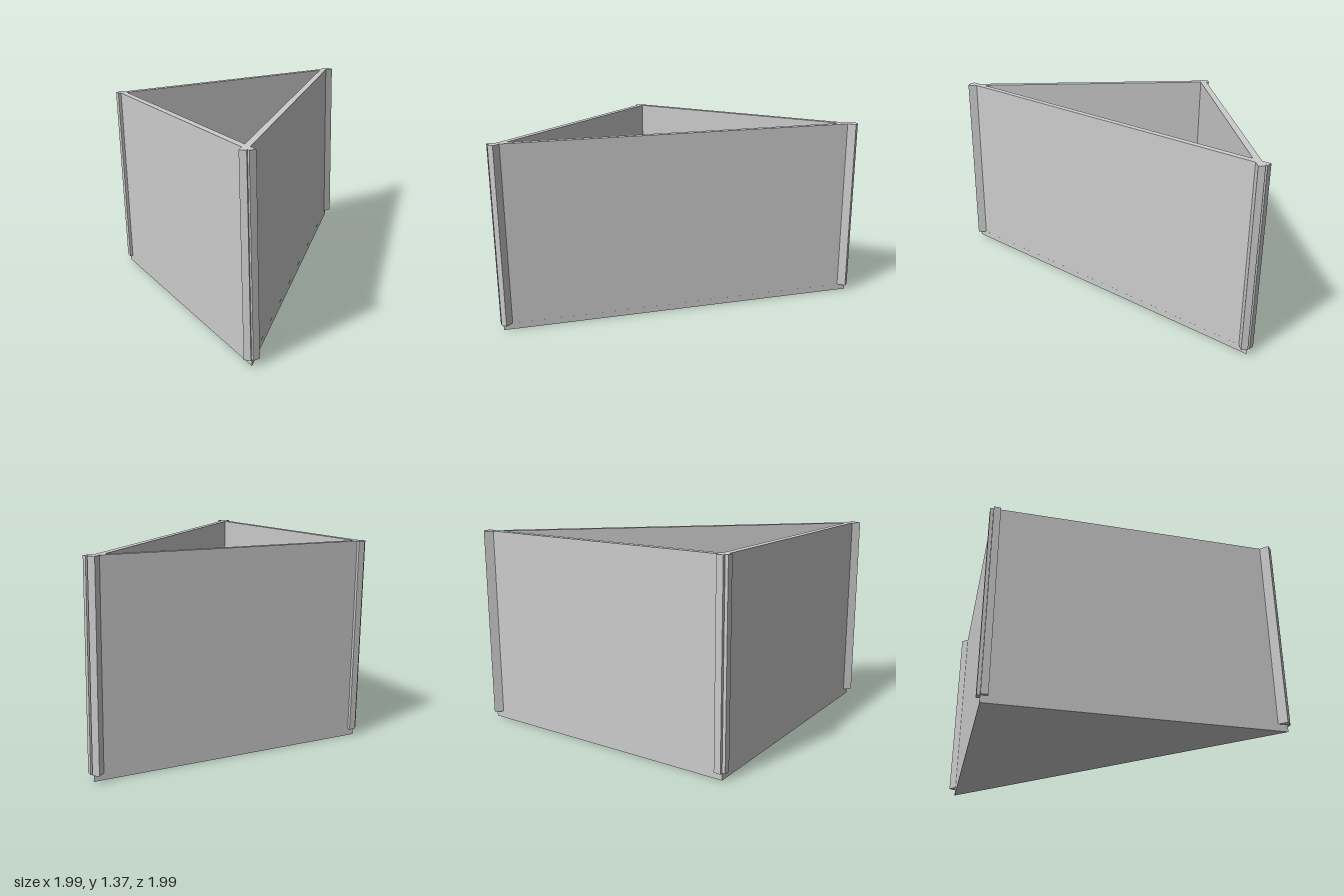
import * as THREE from 'three';

const TOP = 1.368;     // rim height
const BASE = 0.047;    // floor thickness
const T = 0.046;       // wall thickness

export function createModel() {
  const group = new THREE.Group();
  const material = new THREE.MeshStandardMaterial({ color: 0xcccccc, flatShading: true });

  const add = (name, geometry) => {
    const mesh = new THREE.Mesh(geometry, material);
    mesh.name = name;
    group.add(mesh);
    return mesh;
  };

  // Upright panel, centred on (x, z) and turned about the vertical
  const addWall = (name, length, x, z, turn) => {
    const wall = add(name, new THREE.BoxGeometry(length, TOP - BASE, T));
    wall.position.set(x, (TOP + BASE) / 2, z);
    wall.rotation.y = turn;
  };

  // Right-angled triangular floor, drawn as (x, -z) and laid flat
  const outline = new THREE.Shape([
    new THREE.Vector2(-0.955, 0.955),
    new THREE.Vector2(-0.955, -0.976),
    new THREE.Vector2(0.976, 0.955),
  ]);
  const floor = new THREE.ExtrudeGeometry(outline, { depth: BASE, bevelEnabled: false });
  add('floor', floor.rotateX(-Math.PI / 2));

  // Three walls whose ends run past each other at the corners
  addWall('backWall', 1.971, 0.0095, -0.932, 0);
  addWall('sideWall', 1.971, -0.932, 0.0095, Math.PI / 2);
  addWall('diagonalWall', 2.765, -0.006, -0.006, Math.PI / 4);

  return group;
}
